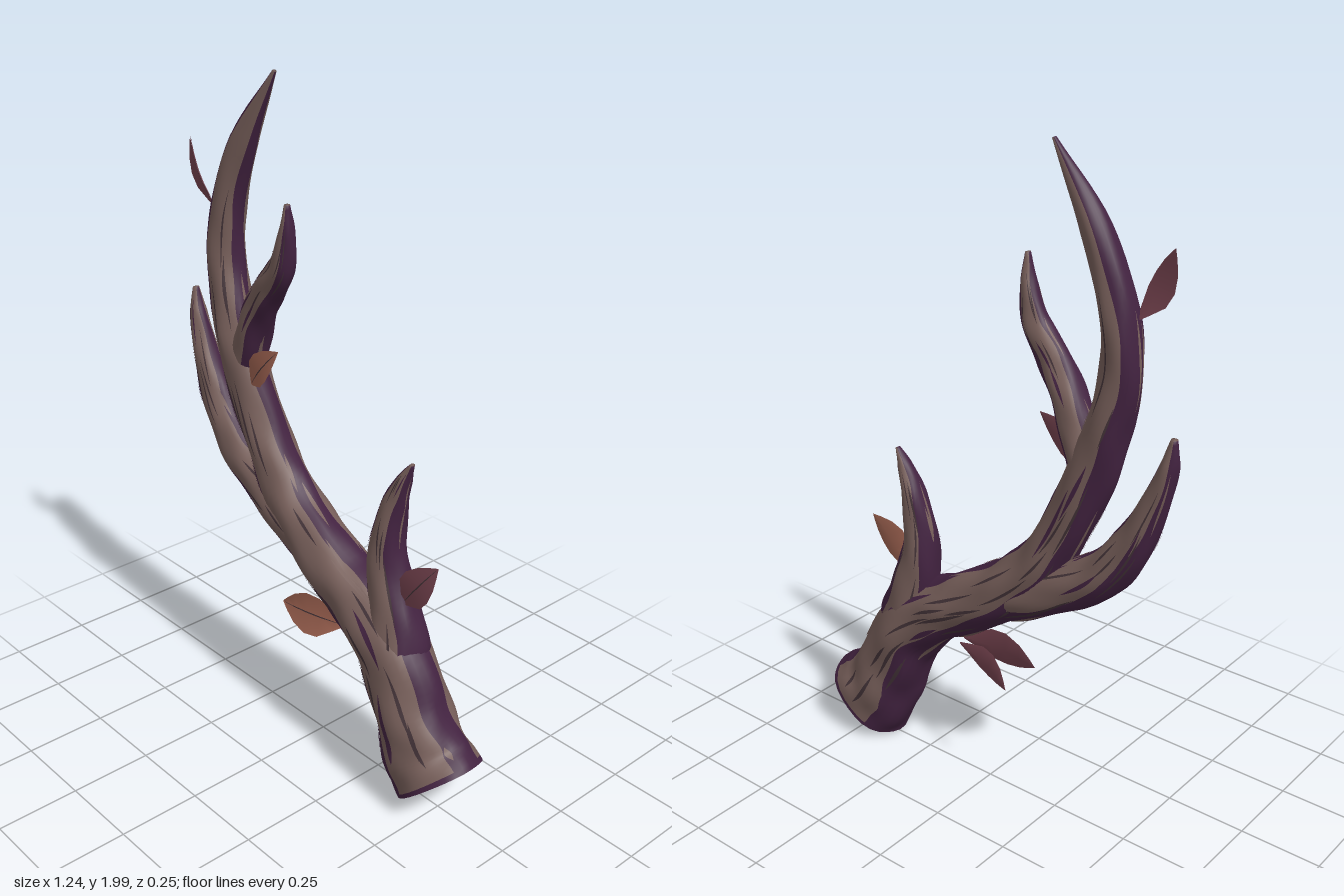
import * as THREE from 'three';

const mat = (name, color) => Object.assign(new THREE.MeshStandardMaterial({ color }), { name });
const bark = mat('brown bark', 0x775f5a);
const shade = mat('purple bark', 0x432341);
const groove = mat('dark groove', 0x433338);
const cut = mat('cut wood', 0xae6858);
const orange = mat('orange leaf', 0xa06452);
const plum = mat('plum leaf', 0x774450);

const SIDES = 28;
let seed = 7;
const rand = () => (seed = (seed * 16807) % 2147483647) / 2147483647;

function makeGeometry(points, index) {
  const g = new THREE.BufferGeometry().setFromPoints(points);
  g.setIndex(index);
  return g;
}

function addMesh(group, name, geometry, material) {
  geometry.computeVertexNormals();
  const m = new THREE.Mesh(geometry, material);
  m.name = name;
  group.add(m);
}

// Limb stations: [x, y, z, half width, half depth]
function limb(name, stations, { left = 0.5, right = 0.86, streaks = 14, cap = false } = {}) {
  const group = new THREE.Group();
  group.name = name;
  const path = new THREE.CatmullRomCurve3(stations.map(s => new THREE.Vector3(s[0], s[1], s[2])));
  const size = new THREE.CatmullRomCurve3(stations.map(s => new THREE.Vector3(s[3], s[4], 0)));
  const phase = rand() * 6;
  const n = stations.length;

  // Elliptical, slightly ridged surface; angle 0 faces the left of the growth direction
  const surface = (u, a, lift = 0) => {
    const c = path.getPoint(u), r = size.getPoint(u), t = path.getTangent(u).setZ(0).normalize();
    const rough = 1 + 0.03 * Math.sin(3 * a + 4 * u * n + phase) * Math.min(1, u * 12)
      + 0.02 * Math.sin(5 * a - 3 * u * n);
    const w = Math.cos(a) * (Math.max(r.x, 0.003) * rough + lift);
    const d = Math.sin(a) * (Math.max(r.y, 0.003) * rough + lift);
    return new THREE.Vector3(c.x - t.y * w, c.y + t.x * w, c.z + d);
  };
  const wave = u => 0.1 * Math.sin(u * n * 1.7 + phase) + 0.03 * Math.sin(u * n * 5 + 1);

  // Wavy bands of brown on the broad faces and purple on the narrow edges
  const rings = (n - 1) * 7, points = [], brown = [], purple = [];
  for (let i = 0; i <= rings; i++)
    for (let j = 0; j < SIDES; j++)
      points.push(surface(i / rings, j / SIDES * Math.PI * 2 + wave(i / rings)));
  for (let i = 0; i < rings; i++)
    for (let j = 0; j < SIDES; j++) {
      const a = i * SIDES + j, b = i * SIDES + (j + 1) % SIDES;
      const k = Math.cos((j + 0.5) / SIDES * Math.PI * 2);
      const isPurple = k > left || k < -right || (cap && i === 0);
      (isPurple ? purple : brown).push(a, b, b + SIDES, a, b + SIDES, a + SIDES);
    }
  const end = points.length, last = rings * SIDES;
  points.push(path.getPoint(1));
  for (let j = 0; j < SIDES; j++) brown.push(end, last + j, last + (j + 1) % SIDES);
  const geo = makeGeometry(points, [...brown, ...purple]);
  geo.addGroup(0, brown.length, 0);
  geo.addGroup(brown.length, purple.length, 1);
  addMesh(group, name + 'Bark', geo, [bark, shade]);

  // Slightly domed sawn end
  if (cap) {
    const index = [];
    for (let j = 0; j < SIDES; j++) index.push(SIDES, (j + 1) % SIDES, j);
    const centre = path.getPoint(0).addScaledVector(path.getTangent(0), -0.015);
    addMesh(group, 'cutEnd', makeGeometry([...points.slice(0, SIDES), centre], index), cut);
  }

  // Long tapered fibres following the grain: grooves and purple on the broad faces, brown on the edges
  const kinds = [
    { label: 'barkGrooves', material: groove, wide: 0.05, centre: Math.PI / 2, spread: 1.7, share: 0.7 },
    { label: 'purpleFibres', material: shade, wide: 0.08, centre: Math.PI / 2, spread: 1.7, share: 0.25 },
    { label: 'edgeFibres', material: bark, wide: 0.08, centre: 0, spread: 1.3, share: 0.3 },
  ];
  for (const { label, material, wide, centre, spread, share } of kinds) {
    const pts = [], idx = [], K = 10;
    for (let s = 0; s < streaks * share; s++) {
      const a0 = centre + (s % 2) * Math.PI + (rand() - 0.5) * spread;
      const u0 = 0.03 + rand() * 0.75, len = (0.8 + rand() * 0.9) / n, drift = (rand() - 0.5) * 0.4;
      const base = pts.length;
      for (let k = 0; k <= K; k++) {
        const f = k / K, u = Math.min(u0 + len * f, 0.97), h = wide * Math.sin(Math.PI * f);
        const a = a0 + drift * f;
        pts.push(surface(u, a - h, 0.002), surface(u, a + h, 0.002));
        const q = base + k * 2;
        if (k < K) idx.push(q, q + 1, q + 3, q, q + 3, q + 2);
      }
    }
    addMesh(group, label, makeGeometry(pts, idx), material);
  }
  return group;
}

// Folded pointed leaf with a different colour on each side and a dark midrib
function leaf(name, base, tip, halfWidth, tilt, front, back) {
  const group = new THREE.Group();
  group.name = name;
  const a = new THREE.Vector3(...base), dir = new THREE.Vector3(...tip).sub(a);
  const axis = dir.clone().normalize();
  const normal = new THREE.Vector3(0, 0, 1).addScaledVector(axis, -axis.z).normalize().applyAxisAngle(axis, tilt);
  const side = normal.clone().cross(axis);
  const outline = [[0, 0.06], [0.15, 0.45], [0.35, 0.95], [0.55, 1], [0.75, 0.72], [0.9, 0.32], [1, 0]];
  const sheet = (width, fold, lift, faceBack) => {
    const pts = [], idx = [];
    outline.forEach(([s, w], i) => {
      for (const e of [1, 0, -1])
        pts.push(a.clone().addScaledVector(dir, s).addScaledVector(side, e * w * width)
          .addScaledVector(normal, Math.abs(e) * w * fold + lift + 0.012 * Math.sin(s * Math.PI)));
      if (i === outline.length - 1) return;
      for (const q of [i * 3, i * 3 + 1]) idx.push(q, q + 1, q + 4, q, q + 4, q + 3);
    });
    return makeGeometry(pts, faceBack ? idx.reverse() : idx);
  };
  addMesh(group, 'leafFront', sheet(halfWidth, 0.012, 0, false), front);
  addMesh(group, 'leafBack', sheet(halfWidth, 0.012, -0.002, true), back);
  addMesh(group, 'leafVein', sheet(0.002, 0, 0.002, false), groove);
  return group;
}

export function createModel() {
  const model = new THREE.Group();
  model.name = 'antlerBranch';

  model.add(
    limb('mainBeam', [
      [0.502, 0.106, 0, 0.153, 0.122], [0.445, 0.173, 0, 0.134, 0.118], [0.388, 0.28, 0, 0.117, 0.11],
      [0.315, 0.42, -0.005, 0.113, 0.105], [0.2, 0.525, -0.005, 0.1, 0.098], [0.08, 0.595, -0.005, 0.095, 0.094],
      [-0.07, 0.69, -0.008, 0.09, 0.086], [-0.18, 0.8, -0.008, 0.078, 0.076], [-0.26, 0.93, -0.005, 0.07, 0.07],
      [-0.345, 1.12, 0, 0.072, 0.068], [-0.395, 1.27, 0, 0.063, 0.066], [-0.432, 1.43, -0.005, 0.057, 0.057],
      [-0.422, 1.59, -0.01, 0.05, 0.054], [-0.345, 1.79, -0.012, 0.042, 0.04], [-0.215, 1.997, -0.016, 0.005, 0.007],
    ], { streaks: 64, cap: true }),
    limb('outerTine', [
      [0.0, 0.63, 0, 0.07, 0.07], [-0.13, 0.695, -0.005, 0.076, 0.078], [-0.27, 0.765, -0.008, 0.072, 0.07],
      [-0.395, 0.845, -0.008, 0.068, 0.062], [-0.485, 0.955, -0.008, 0.058, 0.052],
      [-0.55, 1.09, -0.01, 0.041, 0.04], [-0.595, 1.22, -0.015, 0.026, 0.027], [-0.607, 1.298, -0.018, 0.009, 0.01],
    ], { streaks: 24 }),
    limb('upperTine', [
      [-0.345, 1.08, 0, 0.045, 0.05], [-0.315, 1.19, 0.005, 0.055, 0.056], [-0.262, 1.31, 0.015, 0.052, 0.05],
      [-0.195, 1.405, 0.03, 0.05, 0.042], [-0.12, 1.49, 0.045, 0.042, 0.034],
      [-0.092, 1.59, 0.05, 0.024, 0.025], [-0.083, 1.675, 0.055, 0.007, 0.009],
    ], { left: 0.84, right: 0.5, streaks: 16 }),
    limb('lowerTine', [
      [0.36, 0.36, 0, 0.06, 0.06], [0.325, 0.47, -0.005, 0.085, 0.085], [0.276, 0.61, -0.015, 0.074, 0.07],
      [0.25, 0.76, -0.02, 0.052, 0.054], [0.272, 0.9, -0.025, 0.036, 0.04],
      [0.305, 0.985, -0.025, 0.02, 0.024], [0.332, 1.035, -0.025, 0.005, 0.008],
    ], { left: 0.7, right: 0.62, streaks: 16 }),
  );

  model.add(
    leaf('upperLeaf', [-0.468, 1.575, 0], [-0.562, 1.77, 0.015], 0.05, -0.45, plum, plum),
    leaf('middleLeaf', [-0.265, 1.1, 0.045], [-0.135, 1.24, 0.05], 0.046, -0.15, orange, plum),
    leaf('rightLeaf', [0.335, 0.615, 0], [0.457, 0.775, -0.01], 0.053, 0, plum, orange),
    leaf('lowerLeaf', [0.12, 0.447, 0.02], [-0.135, 0.425, 0.045], 0.063, 0.2, orange, plum),
    leaf('lowerBackLeaf', [0.11, 0.445, -0.01], [-0.1, 0.378, -0.05], 0.045, 0.1, orange, plum),
  );
  return model;
}
